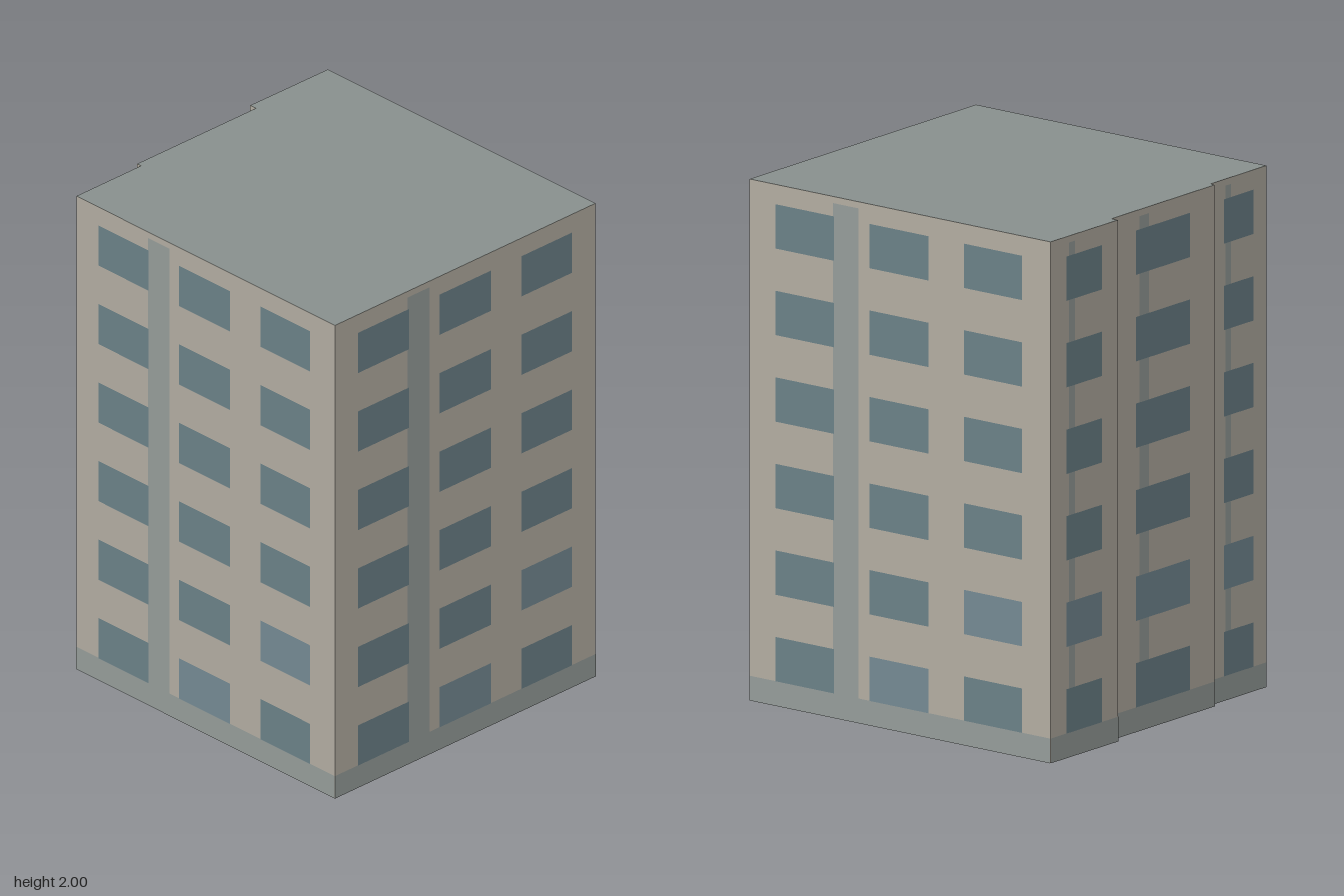
import * as THREE from 'three';

const HEIGHT = 2, FLOORS = 6, FLOOR_STEP = 0.332, PLINTH = 0.095;

// Footprint corners (x, z), each wall running left to right as seen from outside,
// with the number of window columns on the wall that starts there
const FOOTPRINT = [
  [-0.885, -0.355, 3, 'leftWall'],
  [-0.355, 0.917, 3, 'frontWall'],
  [0.885, 0.396, 3, 'rightWall'],
  [0.335, -0.92, 1, 'backWallLeftBay'],
  [-0.033, -0.768, 0, 'leftStep'],
  [-0.021, -0.74, 1, 'backWallMiddleBay'],
  [-0.586, -0.503, 0, 'rightStep'],
  [-0.578, -0.484, 1, 'backWallRightBay'],
];

// Window columns as fractions of the wall length
const COLUMNS = { 0: [], 1: [[0.229, 0.755]], 3: [[0.087, 0.282], [0.4, 0.596], [0.714, 0.907]] };

const paint = (color, side = THREE.FrontSide) =>
  new THREE.MeshStandardMaterial({ color, side });

export function createModel() {
  const model = new THREE.Group();
  model.name = 'apartmentBlock';
  const mats = {
    wall: paint(0xb4aea3, THREE.DoubleSide),
    roof: paint(0x8a928f, THREE.DoubleSide),
    trim: paint(0x979e9b),
    glass: paint(0x6c8289),
    paleGlass: paint(0x758b94),
  };

  // Flat panel on a wall, given by its left, right, bottom and top edges
  function panel(parent, name, mat, x0, x1, y0, y1, offset) {
    const mesh = new THREE.Mesh(new THREE.PlaneGeometry(x1 - x0, y1 - y0), mat);
    mesh.position.set((x0 + x1) / 2, (y0 + y1) / 2, offset);
    mesh.name = name;
    parent.add(mesh);
  }

  FOOTPRINT.forEach(([ax, az, columns, name], i) => {
    const [bx, bz] = FOOTPRINT[(i + 1) % FOOTPRINT.length];
    const length = Math.hypot(bx - ax, bz - az);

    // Local x runs along the wall, local z points outwards
    const wall = new THREE.Group();
    wall.name = name;
    wall.position.set(ax, 0, az);
    wall.rotation.y = Math.atan2(az - bz, bx - ax);
    model.add(wall);

    panel(wall, 'wallFace', mats.wall, 0, length, 0, HEIGHT, 0);
    panel(wall, 'plinth', mats.trim, 0, length, 0, PLINTH, 0.0015);
    if (!columns) return;

    // Vertical strip, partly behind the windows on the narrow bays
    const [s0, s1] = columns === 3 ? [0.278, 0.362] : [0.268, 0.362];
    panel(wall, 'verticalStrip', mats.trim, s0 * length, s1 * length, PLINTH, 1.975, 0.0015);

    // Window grid, with a few paler panes low down
    COLUMNS[columns].forEach(([w0, w1], col) => {
      for (let floor = 0; floor < FLOORS; floor++) {
        const pale = floor === (columns === 3 ? col - 1 : 1);
        const y = 0.095 + floor * FLOOR_STEP;
        panel(wall, 'window', pale ? mats.paleGlass : mats.glass,
          w0 * length, w1 * length, y, y + 0.17, 0.003);
      }
    });
  });

  // Flat roof over the stepped footprint; the underside of the block is open
  const outline = new THREE.Shape(FOOTPRINT.map(([x, z]) => new THREE.Vector2(x, -z)));
  const roof = new THREE.Mesh(new THREE.ShapeGeometry(outline).rotateX(-Math.PI / 2), mats.roof);
  roof.position.y = HEIGHT;
  roof.name = 'roof';
  model.add(roof);

  return model;
}
